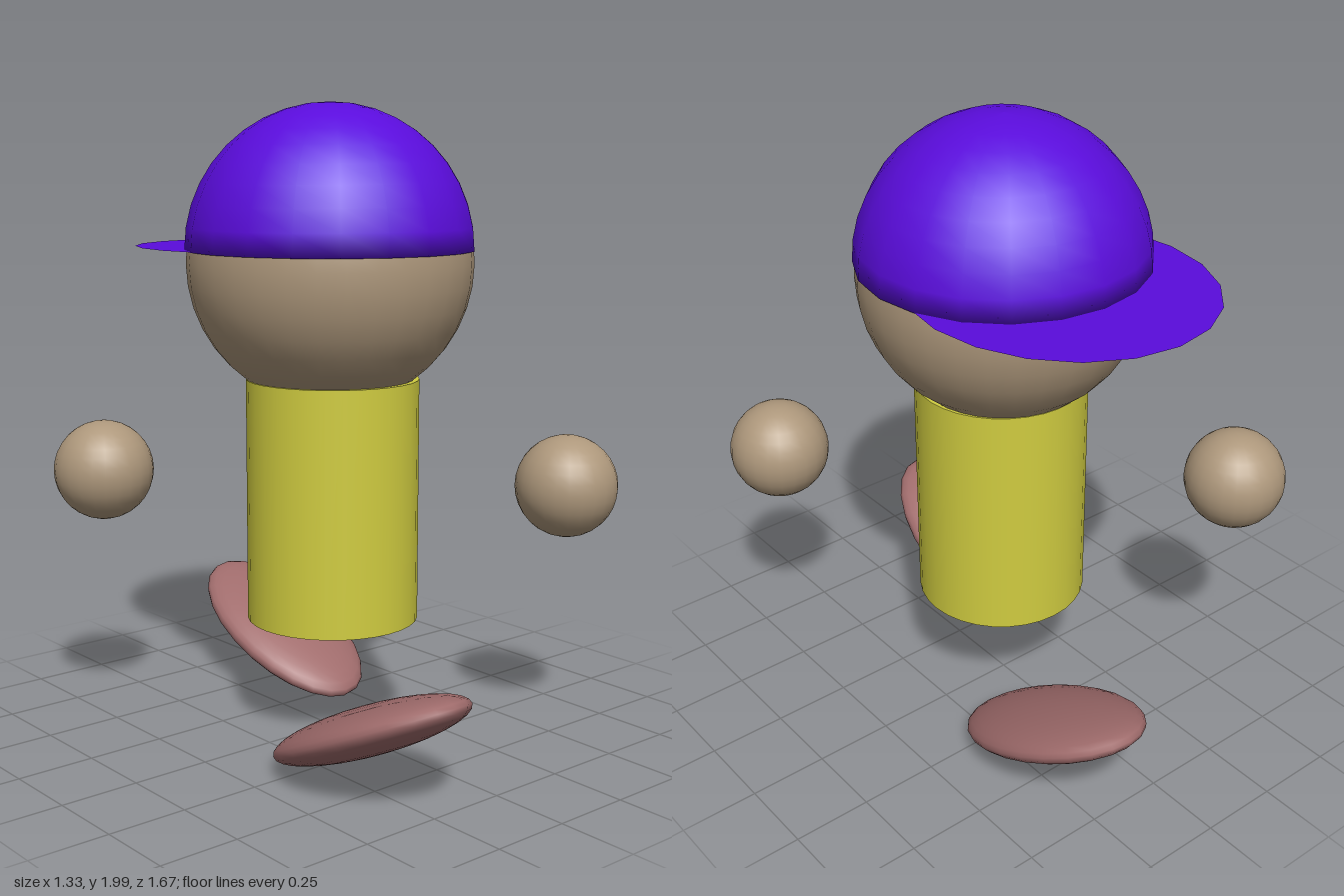
import * as THREE from 'three';

const material = (color, side = THREE.FrontSide) => new THREE.MeshStandardMaterial({ color, side });

export function createModel() {
  const model = new THREE.Group();
  const skin = material(0xae987c);
  const purple = material(0x5a0cdc, THREE.DoubleSide);
  const shirt = material(0xd0cc40);
  const shoe = material(0xa06c6c);

  const add = (name, geometry, mat, x, y, z) => {
    const mesh = new THREE.Mesh(geometry, mat);
    mesh.name = name;
    mesh.position.set(x, y, z);
    model.add(mesh);
    return mesh;
  };

  // Body and head
  add('body', new THREE.CylinderGeometry(0.272, 0.272, 0.77, 32), shirt, 0.003, 0.765, 0.008);
  add('head', new THREE.SphereGeometry(0.446, 32, 20), skin, 0, 1.51, 0);

  // Cap dome: closed half sphere, its rim softened into the flat underside
  const profile = [new THREE.Vector2(0, 0)];
  for (let i = 0; i <= 10; i++) {
    const a = (i / 10) * Math.PI / 2;
    profile.push(new THREE.Vector2(i === 10 ? 0 : 0.45 * Math.cos(a), 0.45 * Math.sin(a)));
  }
  add('capDome', new THREE.LatheGeometry(profile, 20), purple, 0, 1.55, 0);

  // Cap brim: thin flat oval pointing backwards
  const brim = add('capBrim', new THREE.CircleGeometry(1, 20), purple, 0, 1.552, -0.256);
  brim.rotation.x = -Math.PI / 2;
  brim.scale.set(0.446, 0.49, 1);

  // Floating hands
  const hand = new THREE.SphereGeometry(0.16, 24, 16);
  add('leftHand', hand, skin, 0.5, 0.825, 0.547);
  add('rightHand', hand, skin, -0.505, 0.84, -0.533);

  // Feet: flattened ellipsoids, outer ends tilted up
  const foot = new THREE.SphereGeometry(1, 24, 16);
  const addFoot = (name, x, y, z, size, tilt) => {
    const mesh = add(name, foot, shoe, x, y, z);
    mesh.scale.set(...size);
    mesh.rotation.x = THREE.MathUtils.degToRad(tilt);
  };
  addFoot('rightFoot', -0.252, 0.188, 0.475, [0.222, 0.074, 0.394], -25);
  addFoot('leftFoot', 0.195, 0.187, -0.49, [0.218, 0.07, 0.379], 25);

  return model;
}
